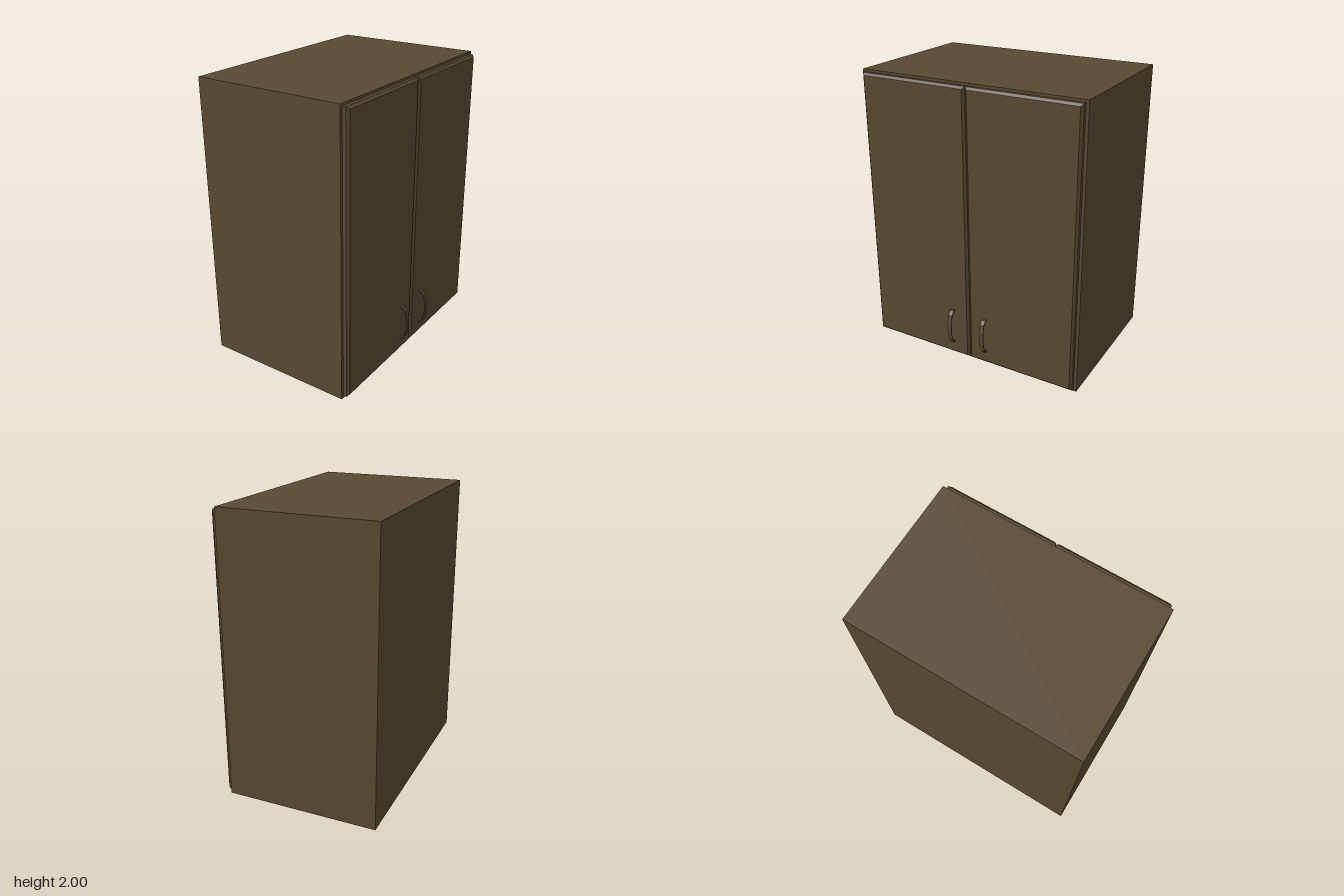
import * as THREE from 'three';

const wood = new THREE.MeshStandardMaterial({ color: 0x594a33 });
wood.name = 'dark brown wood';

function part(name, geometry, x, y, z) {
  const mesh = new THREE.Mesh(geometry, wood);
  mesh.name = name;
  mesh.position.set(x, y, z);
  return mesh;
}

// Slab whose outer (+x) face is chamfered on all four edges
function doorGeometry(thickness, height, width, chamfer) {
  const box = new THREE.BoxGeometry(thickness, height, width, 2, 1, 1);
  const p = box.attributes.position;
  for (let i = 0; i < p.count; i++) {
    const x = p.getX(i);
    if (Math.abs(x) < 1e-6) {
      p.setX(i, thickness / 2 - chamfer);
    } else if (x > 0) {
      p.setY(i, p.getY(i) - Math.sign(p.getY(i)) * chamfer);
      p.setZ(i, p.getZ(i) - Math.sign(p.getZ(i)) * chamfer);
    }
  }
  const flat = box.toNonIndexed();
  flat.computeVertexNormals();
  return flat;
}

// Bowed flat strip: outer outline, then the same outline pulled inwards
function handleGeometry(width) {
  const outer = [[0, 0.13], [0.018, 0.128], [0.037, 0.105], [0.054, 0.04]];
  const inner = [[0, 0.123], [0.015, 0.121], [0.031, 0.101], [0.047, 0.039]];
  const mirrored = (pts) => [...pts, ...pts.map(([x, y]) => [x, -y]).reverse()];
  const outline = [...mirrored(outer), ...mirrored(inner).reverse()];
  const shape = new THREE.Shape(outline.map(([x, y]) => new THREE.Vector2(x, y)));
  const strip = new THREE.ExtrudeGeometry(shape, { depth: width, bevelEnabled: false });
  return strip.translate(0, 0, -width / 2);
}

export function createModel() {
  const cabinet = new THREE.Group();
  cabinet.name = 'wallCabinet';

  // Carcass
  cabinet.add(part('carcass', new THREE.BoxGeometry(1.075, 2, 1.63), -0.0475, 1, 0));

  // Pair of doors on the +x side, each with a handle near the middle
  const door = doorGeometry(0.04, 1.965, 0.793, 0.016);
  const handle = handleGeometry(0.03);
  for (const [side, s] of [['near', 1], ['far', -1]]) {
    cabinet.add(part(side + 'Door', door, 0.51, 1.0, s * 0.3985));
    cabinet.add(part(side + 'Handle', handle, 0.53, 0.246, s * 0.13));
  }
  return cabinet;
}
